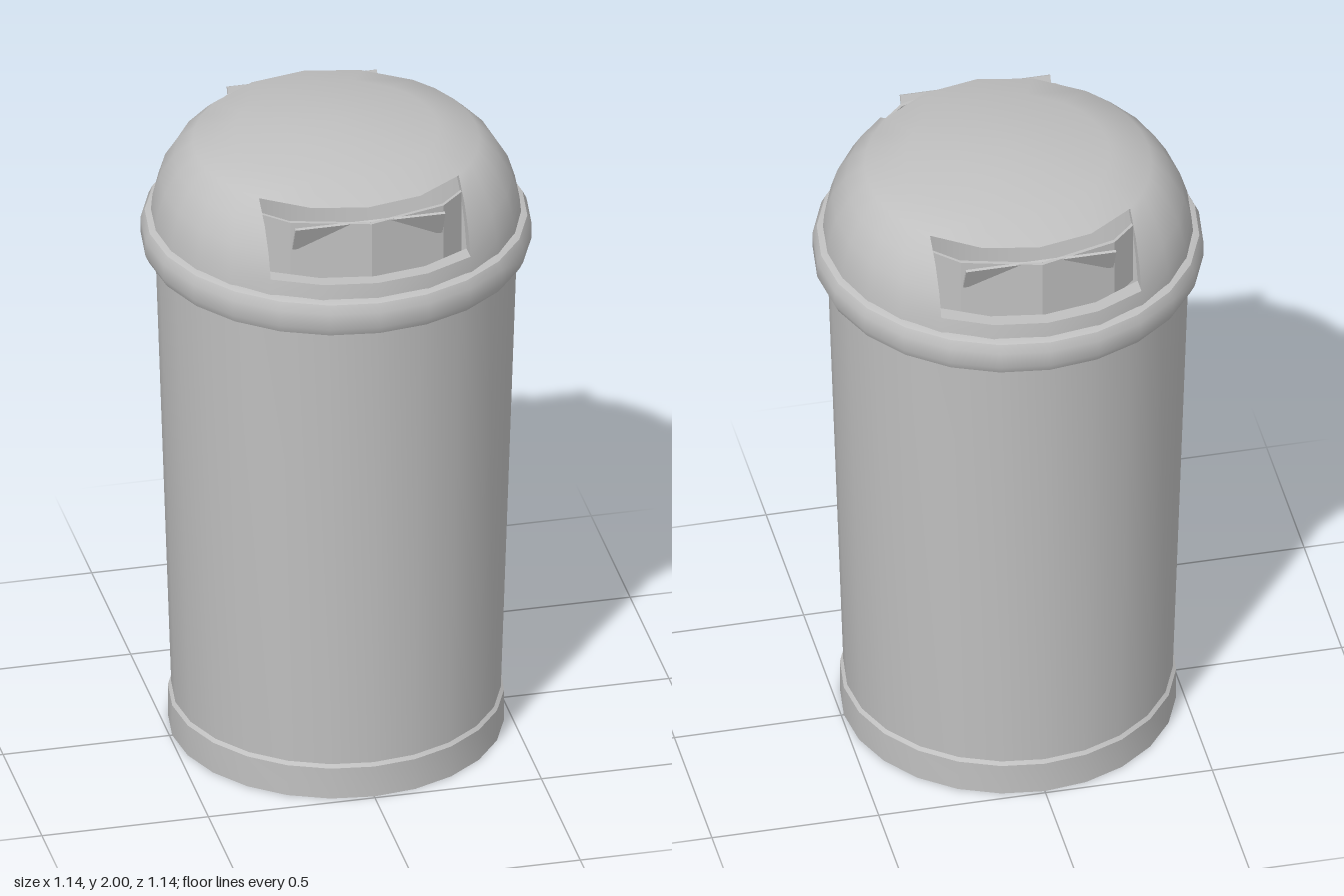
import * as THREE from 'three';
import { toCreasedNormals } from 'three/addons/utils/BufferGeometryUtils.js';

const SIDES = 24;

export function createModel() {
  const model = new THREE.Group();
  model.name = 'swingTopBin';
  const grey = new THREE.MeshStandardMaterial({ color: 0xc0c0c0, side: THREE.DoubleSide });
  grey.name = 'grey plastic';

  const add = (name, geometry, parent = model) => {
    const mesh = new THREE.Mesh(geometry, grey);
    mesh.name = name;
    parent.add(mesh);
    return mesh;
  };
  // Closed [radius, height] profile turned around the y axis
  const turned = (profile) => {
    const points = [...profile, profile[0]].map(([r, y]) => new THREE.Vector2(r, y));
    return toCreasedNormals(new THREE.LatheGeometry(points, SIDES), 0.6);
  };

  // Hollow base band, tapered body and rounded rim
  add('baseBand', turned([[0.475, 0], [0.492, 0], [0.492, 0.1], [0.482, 0.11], [0.47, 0.11]]));
  add('body', turned([[0.47, 0.1], [0.482, 0.1], [0.53, 1.6], [0.515, 1.6]]));
  add('rim', turned([[0.515, 1.59], [0.56, 1.59], [0.572, 1.615], [0.572, 1.665],
    [0.56, 1.69], [0.54, 1.698], [0.515, 1.698]]));

  add('lid', lidGeometry());

  // Inset panel and tilted plate in each opening
  for (const [name, turn] of [['frontFlap', 0], ['backFlap', Math.PI]]) {
    const flap = new THREE.Group();
    flap.name = name;
    flap.rotation.y = turn;
    const section = [[-0.3, 0.33], [-0.23, 0.398], [0, 0.46], [0.23, 0.398], [0.3, 0.33]];
    const inner = section.map(([x, z]) => [x, z - 0.012]).reverse();
    const shape = new THREE.Shape([...section, ...inner].map(([x, z]) => new THREE.Vector2(x, -z)));
    const panel = new THREE.ExtrudeGeometry(shape, { depth: 0.2, bevelEnabled: false });
    panel.rotateX(-Math.PI / 2);
    add('flapPanel', panel, flap).position.y = 1.7;
    const plate = add('flapPlate', new THREE.BoxGeometry(0.45, 0.094, 0.008), flap);
    plate.position.set(0, 1.857, 0.42);
    plate.rotation.x = 0.44;
    model.add(flap);
  }
  return model;
}

// Domed shell with a straight-sided opening at the front and the back
function lidGeometry() {
  const outer = [[0.542, 1.69], [0.537, 1.745], [0.515, 1.815], [0.475, 1.882],
    [0.42, 1.935], [0.3, 1.968], [0.15, 1.986], [0.001, 2]];
  const inner = [[0.502, 1.69], [0.495, 1.745], [0.475, 1.815], [0.44, 1.882],
    [0.39, 1.935], [0.28, 1.95], [0.14, 1.966], [0.001, 1.975]];
  const low = 1, high = 4, halfWidth = 0.3;

  // Columns 0-4 span the front opening, 12-16 the back one
  const point = (profile, row, col) => {
    const edgeRow = Math.min(Math.max(row, low), high);
    const a = Math.asin(halfWidth / profile[edgeRow][0]);
    const side = Math.PI - 2 * a;
    const half = col >= 12 ? 1 : 0;
    const c = col - 12 * half;
    const angle = half * Math.PI + (c <= 4 ? -a + (a * c) / 2 : a + (side * (c - 4)) / 8);
    const [r, y] = profile[row];
    return [r * Math.sin(angle), y, r * Math.cos(angle)];
  };

  const positions = [];
  const quad = (a, b, c, d) => positions.push(...a, ...b, ...c, ...a, ...c, ...d);

  for (let col = 0; col < SIDES; col++) {
    const opening = col % 12 < 4;
    for (let row = 0; row < outer.length - 1; row++) {
      if (opening && row >= low && row < high) continue;
      const o = (r, c) => point(outer, r, c), i = (r, c) => point(inner, r, c);
      quad(o(row, col), o(row, col + 1), o(row + 1, col + 1), o(row + 1, col));
      quad(i(row, col + 1), i(row, col), i(row + 1, col), i(row + 1, col + 1));
    }
    // Lower ledge and upper lip of each opening
    if (opening) {
      quad(point(outer, low, col), point(outer, low, col + 1),
        point(inner, low, col + 1), point(inner, low, col));
      quad(point(inner, high, col), point(inner, high, col + 1),
        point(outer, high, col + 1), point(outer, high, col));
    }
    // Bottom edge of the shell
    quad(point(inner, 0, col), point(inner, 0, col + 1), point(outer, 0, col + 1), point(outer, 0, col));
  }
  // Upright jambs beside the openings
  for (const start of [0, 12]) {
    for (let row = low; row < high; row++) {
      const l = start, r = start + 4;
      quad(point(outer, row, l), point(inner, row, l), point(inner, row + 1, l), point(outer, row + 1, l));
      quad(point(inner, row, r), point(outer, row, r), point(outer, row + 1, r), point(inner, row + 1, r));
    }
  }
  const geometry = new THREE.BufferGeometry();
  geometry.setAttribute('position', new THREE.Float32BufferAttribute(positions, 3));
  return toCreasedNormals(geometry, 0.6);
}
